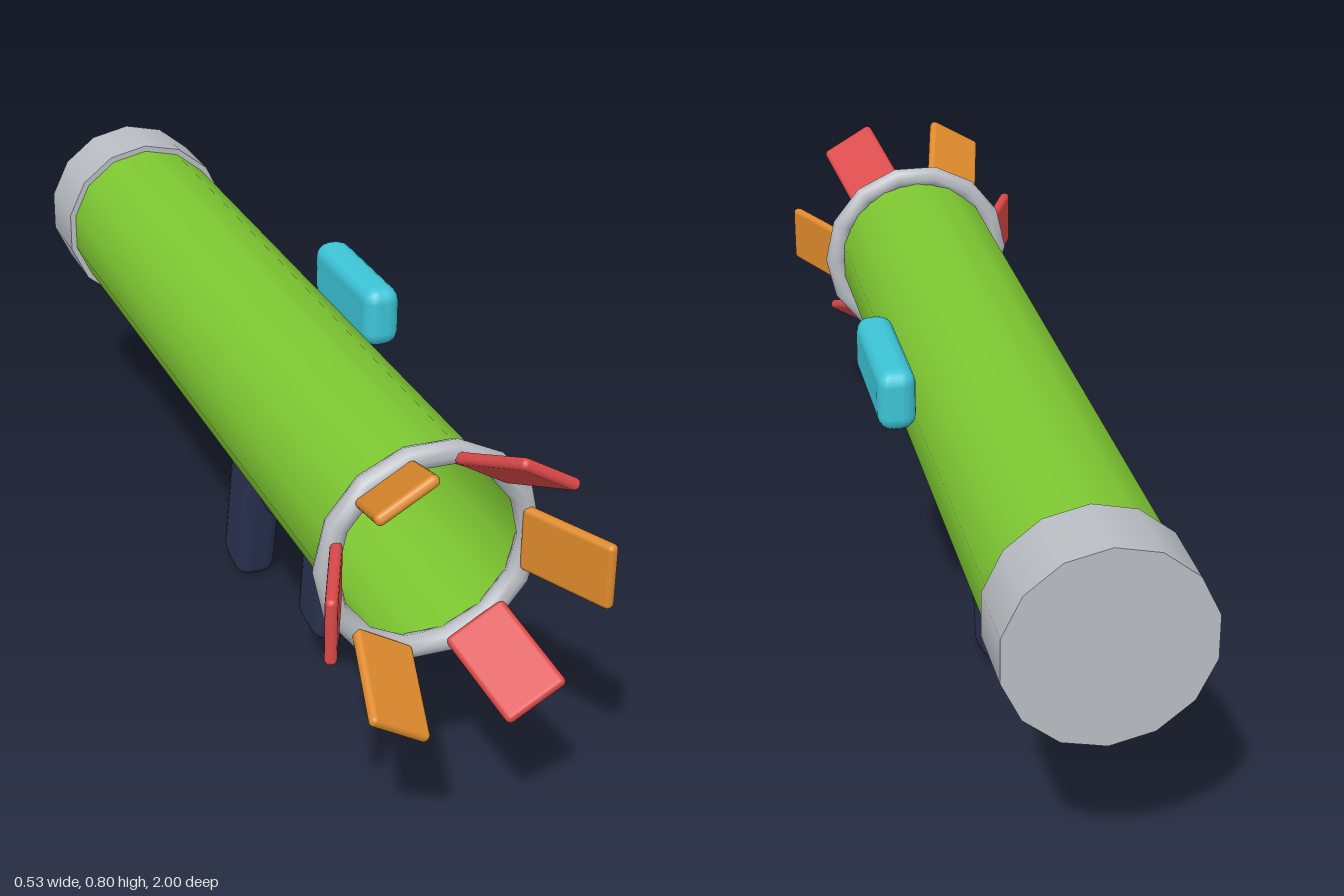
import * as THREE from 'three';
import { RoundedBoxGeometry } from 'three/addons/geometries/RoundedBoxGeometry.js';

const AXIS_Y = 0.546; // height of the barrel's centre line
const SIDES = 14;

function material(name, color, side = THREE.FrontSide) {
  const m = new THREE.MeshStandardMaterial({ color, side });
  m.name = name;
  return m;
}

export function createModel() {
  const green = material('lime green', 0x7ec832, THREE.DoubleSide);
  const grey = material('light grey', 0xb9bdc3);
  const navy = material('dark navy', 0x2a3250);
  const red = material('red', 0xd94848);
  const orange = material('orange', 0xde8a2c);
  const cyan = material('cyan', 0x3cc4d6);

  const model = new THREE.Group();
  model.name = 'launcher';

  function add(name, geometry, mat, x, y, z, parent = model) {
    const mesh = new THREE.Mesh(geometry, mat);
    mesh.name = name;
    mesh.position.set(x, y, z);
    parent.add(mesh);
    return mesh;
  }

  // Open barrel, closed by the cap at the back
  const barrel = new THREE.CylinderGeometry(0.179, 0.179, 1.68, SIDES, 1, true);
  add('barrel', barrel.rotateX(Math.PI / 2), green, 0, AXIS_Y, -0.04);
  const cap = new THREE.CylinderGeometry(0.192, 0.192, 0.152, SIDES);
  add('rearCap', cap.rotateX(Math.PI / 2), grey, 0, AXIS_Y, -0.924);

  // Muzzle ring
  add('muzzleRing', new THREE.TorusGeometry(0.193, 0.023, 8, SIDES), grey, 0, AXIS_Y, 0.802);

  // Six flared petals round the muzzle, alternating colours
  const petalGeometry = new RoundedBoxGeometry(0.022, 0.126, 0.2, 2, 0.01);
  const petals = new THREE.Group();
  petals.name = 'muzzlePetals';
  petals.position.y = AXIS_Y;
  model.add(petals);
  for (let i = 0; i < 6; i++) {
    const arm = new THREE.Group();
    arm.name = 'petalArm';
    arm.rotation.z = (i * Math.PI) / 3;
    petals.add(arm);
    const petal = add('petal', petalGeometry, i % 2 ? red : orange, 0.218, 0, 0.905, arm);
    petal.rotation.y = 0.42;
  }

  // Sight box on the left side
  add('sight', new RoundedBoxGeometry(0.076, 0.126, 0.31, 2, 0.03), cyan, 0.218, 0.649, -0.07);

  // Raked hand grips
  const front = new RoundedBoxGeometry(0.088, 0.252, 0.12, 2, 0.03);
  add('frontGrip', front, navy, 0, 0.238, 0.343).rotation.x = 0.15;
  const rear = new RoundedBoxGeometry(0.088, 0.332, 0.12, 2, 0.03);
  add('rearGrip', rear, navy, 0, 0.17, -0.102).rotation.x = 0.22;

  // Trigger guard ring
  const guard = new THREE.TorusGeometry(0.064, 0.015, 6, 12);
  add('triggerGuard', guard.rotateY(Math.PI / 2), navy, 0, 0.289, 0.02);

  return model;
}
